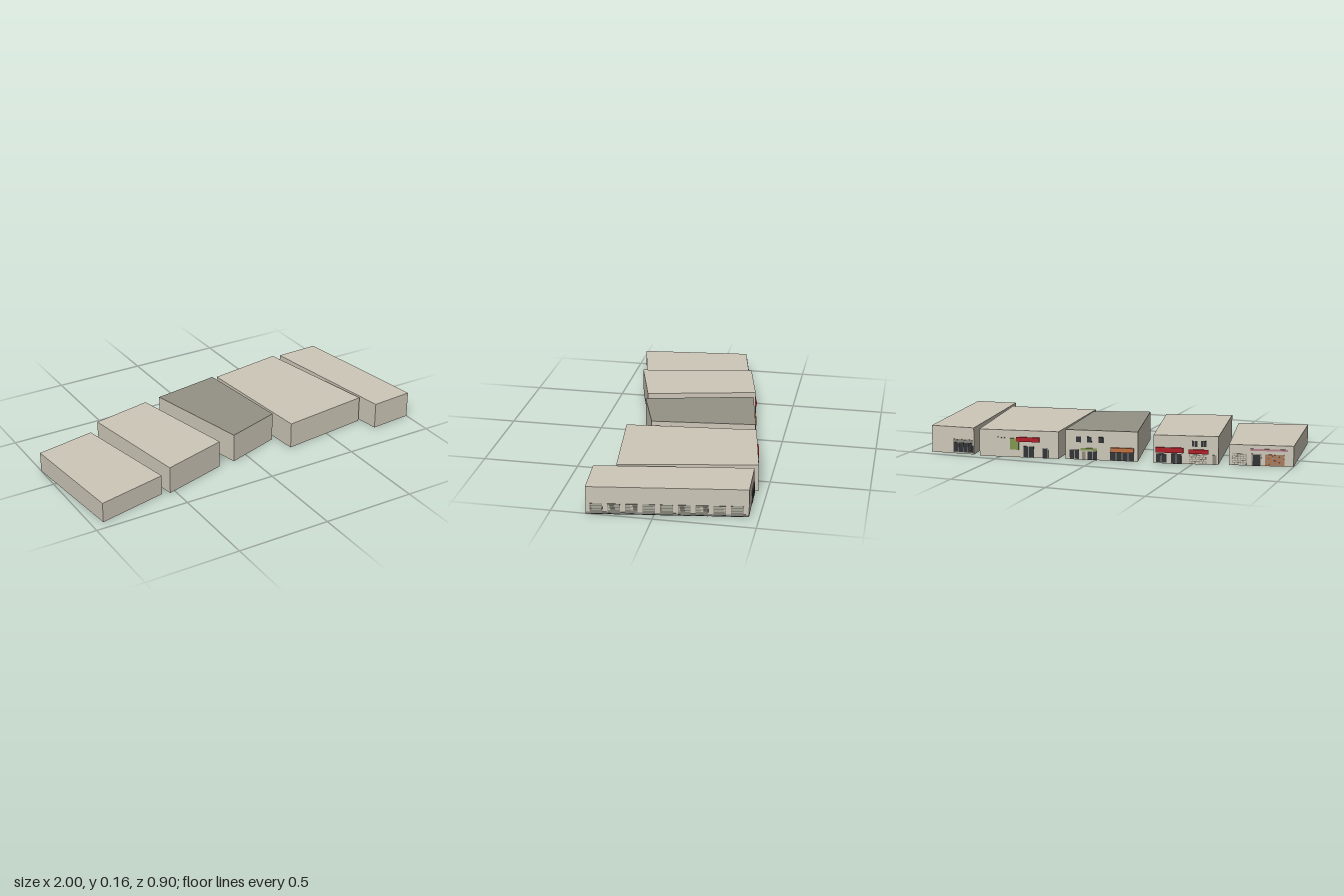
import * as THREE from 'three';

const mat = (name, color, side = THREE.FrontSide) => {
  const m = new THREE.MeshStandardMaterial({ color, side });
  m.name = name;
  return m;
};

export function createModel() {
  const model = new THREE.Group();
  model.name = 'shopRow';

  const wall = mat('wallBeige', 0xcdc7b8);
  const darkRoof = mat('roofGrey', 0x949186);
  const glass = mat('darkGlass', 0x2f3336);
  const red = mat('signRed', 0xb01a26);
  const green = mat('signGreen', 0x7f9650);
  const orange = mat('brickOrange', 0xbf7040);
  const shutter = mat('shutterGrey', 0x85847a);
  const slat = mat('slatCream', 0xcbc8b8);
  const stone = mat('stoneGrey', 0x8d887d);
  const pink = mat('trimPink', 0xb4808a);

  // Extrude a plan outline of [x, z] corners from y0 to y1
  function prism(name, corners, y0, y1, material, parent) {
    const shape = new THREE.Shape(corners.map(([x, z]) => new THREE.Vector2(x, -z)));
    const geo = new THREE.ExtrudeGeometry(shape, { depth: y1 - y0, bevelEnabled: false });
    geo.rotateX(-Math.PI / 2);
    const mesh = new THREE.Mesh(geo, material);
    mesh.position.y = y0;
    mesh.name = name;
    parent.add(mesh);
  }

  // A wall frame: local x runs from a to b, local z points outwards.
  // plate() takes fractions along the wall and heights.
  function facade(name, a, b, parent) {
    const group = new THREE.Group();
    const dx = b[0] - a[0], dz = b[1] - a[1], length = Math.hypot(dx, dz);
    group.name = name;
    group.position.set(a[0], 0, a[1]);
    group.rotation.y = Math.atan2(-dz, dx);
    parent.add(group);
    const plate = (label, f0, f1, y0, y1, material, depth = 0.004, out = 0) => {
      const mesh = new THREE.Mesh(new THREE.BoxGeometry((f1 - f0) * length, y1 - y0, depth), material);
      mesh.position.set((f0 + f1) / 2 * length, (y0 + y1) / 2, out + depth / 2);
      mesh.name = label;
      group.add(mesh);
    };
    // Window divided by slim upright bars
    const glazing = (label, f0, f1, y0, y1, panes) => {
      plate(label, f0, f1, y0, y1, glass);
      for (let i = 1; i < panes; i++) {
        const f = f0 + (f1 - f0) * i / panes;
        plate(label + 'Bar', f - 0.006, f + 0.006, y0, y1, stone, 0.001, 0.004);
      }
    };
    // Panel covered with staggered blocks
    const blocks = (label, f0, f1, y0, y1, base, face, cols, rows) => {
      plate(label, f0, f1, y0, y1, base, 0.003);
      const w = (f1 - f0) / cols, h = (y1 - y0) / rows;
      for (let r = 0; r < rows; r++) for (let c = 0; c < cols; c++) {
        const s = f0 + c * w + (r % 2) * w * 0.2;
        plate(label + 'Block', s, s + w * 0.75, y0 + r * h + h * 0.15, y0 + r * h + h * 0.85, face, 0.001, 0.003);
      }
    };
    return { plate, glazing, blocks };
  }

  // Plan corners: back +x, back -x, front -x, front +x
  const plans = [
    { h: 0.107, c: [[-0.68, -0.22], [-1, -0.155], [-0.94, 0.45], [-0.57, 0.365]] },
    { h: 0.147, c: [[-0.305, -0.31], [-0.63, -0.24], [-0.53, 0.378], [-0.18, 0.275]] },
    { h: 0.156, c: [[0.155, -0.375], [-0.22, -0.31], [-0.09, 0.268], [0.21, 0.17]], roof: darkRoof },
    { h: 0.143, c: [[0.61, -0.455], [0.19, -0.385], [0.247, 0.297], [0.735, 0.235]] },
    { h: 0.143, c: [[0.892, -0.45], [0.65, -0.44], [0.765, 0.345], [1, 0.325]] },
  ];
  const names = ['brickShop', 'redSignShop', 'awningShop', 'greenPanelShop', 'garageBlock'];
  const fronts = plans.map(({ h, c, roof }, i) => {
    const building = new THREE.Group();
    building.name = names[i];
    model.add(building);
    prism('walls', c, 0, roof ? h - 0.002 : h, wall, building);
    if (roof) prism('roof', c, h - 0.002, h, roof, building);
    return { ...facade('shopFront', c[0], c[1], building), building };
  });

  // Brick shop
  let s = fronts[0];
  s.blocks('stoneWindow', 0.05, 0.27, 0.004, 0.06, stone, slat, 5, 5);
  s.plate('doorFrame', 0.35, 0.5, 0, 0.062, stone, 0.002);
  s.plate('door', 0.37, 0.48, 0, 0.057, glass);
  s.blocks('brickPanel', 0.56, 0.86, 0.003, 0.06, stone, orange, 5, 6);
  s.plate('signTrim', 0.33, 0.91, 0.078, 0.088, pink);

  // Shop with two red signs
  s = fronts[1];
  s.plate('wideSign', 0.03, 0.46, 0.057, 0.084, red, 0.008);
  s.glazing('shopWindow', 0.04, 0.2, 0.006, 0.05, 2);
  s.glazing('entrance', 0.27, 0.43, 0, 0.052, 2);
  s.plate('smallSign', 0.54, 0.85, 0.055, 0.077, red, 0.008);
  s.blocks('stoneWindow', 0.55, 0.82, 0.004, 0.05, stone, slat, 5, 4);
  s.plate('sideDoor', 0.91, 0.97, 0, 0.05, stone);
  for (const f of [0.59, 0.73]) s.glazing('upperWindow', f, f + 0.085, 0.092, 0.122, 2);

  // Shop with orange awning
  s = fronts[2];
  s.glazing('shopWindow', 0.06, 0.19, 0.004, 0.052, 2);
  s.plate('greenSign', 0.21, 0.44, 0.05, 0.062, green, 0.006);
  s.plate('smallDoor', 0.23, 0.28, 0, 0.044, stone);
  s.glazing('entrance', 0.31, 0.44, 0, 0.045, 2);
  s.glazing('displayWindow', 0.62, 0.95, 0.002, 0.045, 4);
  s.plate('awning', 0.63, 0.95, 0.047, 0.07, orange, 0.014);
  for (const f of [0.15, 0.3, 0.46]) s.plate('upperWindow', f, f + 0.065, 0.092, 0.122, glass);

  // Shop with green panel
  s = fronts[3];
  s.plate('greenPanel', 0.39, 0.5, 0.04, 0.1, green);
  s.plate('redSign', 0.47, 0.76, 0.084, 0.108, red, 0.008);
  s.glazing('entrance', 0.56, 0.69, 0.002, 0.06, 2);
  s.plate('sideDoorFrame', 0.79, 0.87, 0, 0.055, stone, 0.002);
  s.plate('sideDoor', 0.805, 0.855, 0, 0.05, glass);
  for (let i = 0; i < 3; i++) s.plate('wallLamp', 0.23 + i * 0.04, 0.245 + i * 0.04, 0.098, 0.105, stone);

  // Garage block: end window and a row of roller shutters
  s = fronts[4];
  s.plate('windowFrame', 0.5, 0.98, 0.006, 0.078, stone, 0.002);
  s.glazing('endWindow', 0.53, 0.96, 0.01, 0.06, 4);
  s.plate('fanlight', 0.53, 0.96, 0.064, 0.074, shutter);
  const side = facade('garageSide', plans[4].c[3], plans[4].c[0], s.building);
  side.plate('plinth', 0, 1, 0, 0.011, shutter, 0.002);
  for (let i = 0; i < 9; i++) {
    const f = 0.026 + i * 0.108, w = 0.077;
    side.plate('shutter', f, f + w, 0, 0.055, shutter, 0.003);
    side.plate('shutterGap', f, f + w, 0.001, 0.005, glass, 0.001, 0.003);
    for (let k = 0; k < 4; k++) {
      const y = 0.024 + k * 0.008;
      side.plate('slat', f + 0.003, f + w - 0.003, y, y + 0.003, slat, 0.001, 0.003);
    }
  }

  return model;
}
